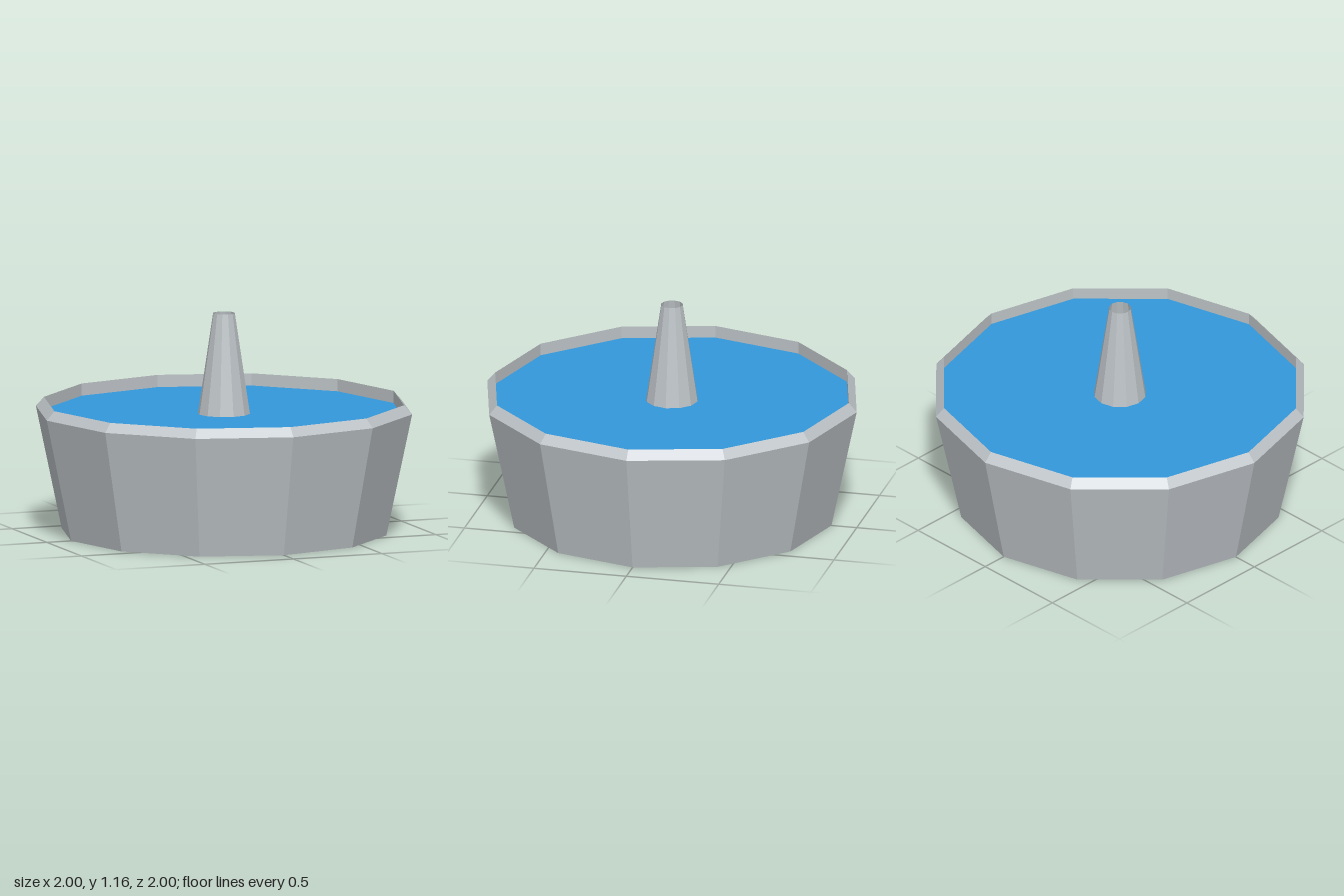
import * as THREE from 'three';

const SIDES = 12;

export function createModel() {
  const stone = new THREE.MeshStandardMaterial({ color: 0xbdc3c7, flatShading: true, side: THREE.DoubleSide });
  stone.name = 'silver stone';
  const blue = new THREE.MeshStandardMaterial({ color: 0x3498db, flatShading: true, side: THREE.DoubleSide });
  blue.name = 'water blue';

  const model = new THREE.Group();
  model.name = 'fountain';

  const waterY = 0.63;

  const add = (name, geometry, material) => {
    const mesh = new THREE.Mesh(geometry, material);
    mesh.name = name;
    model.add(mesh);
    return mesh;
  };
  const lathe = (points) =>
    new THREE.LatheGeometry(points.map(([r, y]) => new THREE.Vector2(r, y)), SIDES);

  // Open-bottomed flared wall, bevelled rim and inner lip down to the water
  add('basin', lathe([[0.863, 0], [1, 0.647], [0.957, 0.695], [0.957, waterY]]), stone);

  // Water sheet with an opening under the spout
  const water = add('water', new THREE.RingGeometry(0.138, 0.957, SIDES, 1), blue);
  water.rotation.x = -Math.PI / 2;
  water.position.y = waterY;

  // Hollow tapered spout
  add('spout', lathe([[0.138, waterY], [0.058, 1.163]]), stone);

  return model;
}
